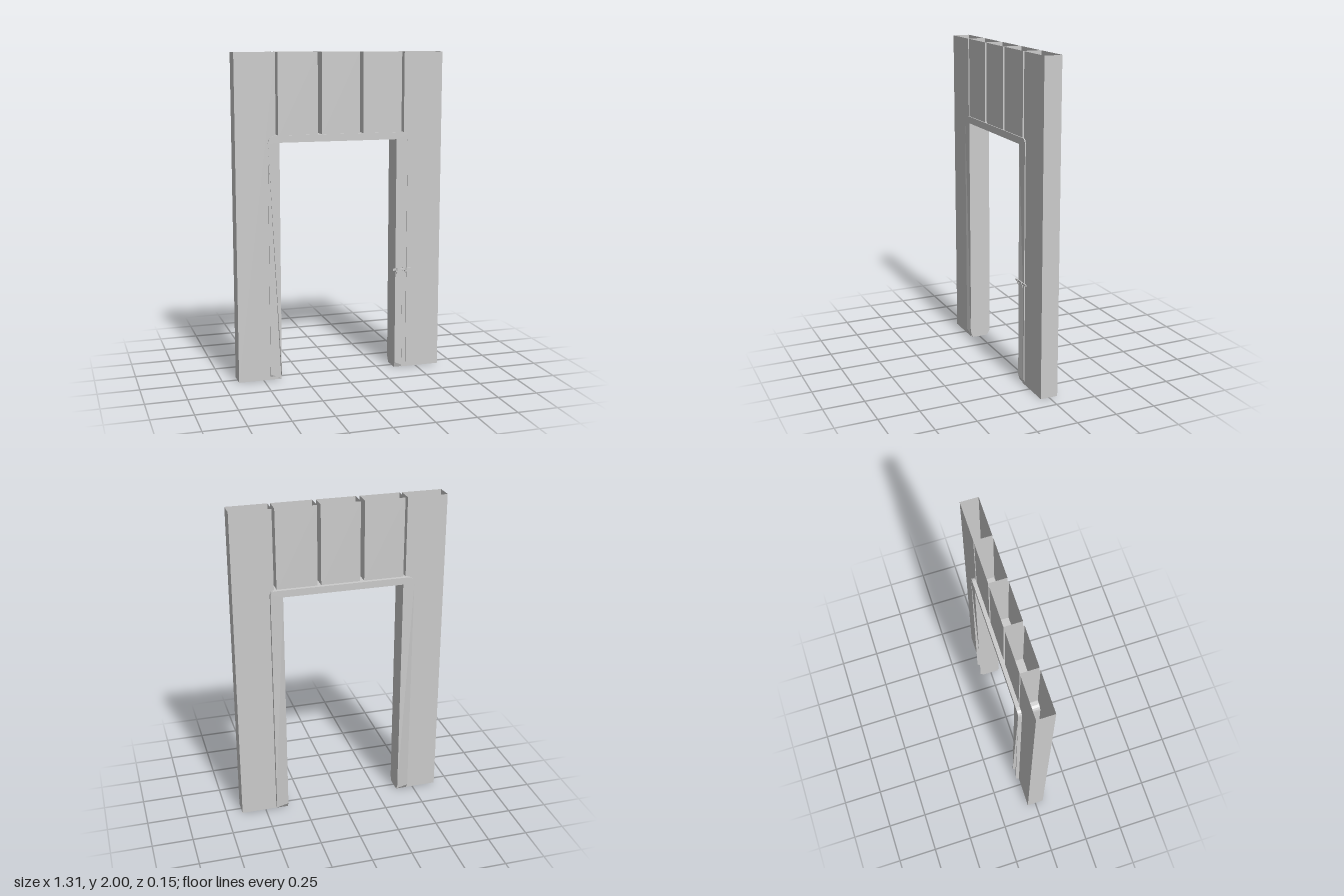
import * as THREE from 'three';

const material = new THREE.MeshStandardMaterial({ color: 0xcccccc, flatShading: true, side: THREE.DoubleSide });

function addMesh(parent, name, geometry, x = 0, y = 0, z = 0) {
  const mesh = new THREE.Mesh(geometry, material);
  mesh.name = name;
  mesh.position.set(x, y, z);
  parent.add(mesh);
  return mesh;
}

// Hollow rectangular sleeve, open at top and bottom
function sleeve(x0, x1, y0, y1, depth) {
  const g = new THREE.BoxGeometry(x1 - x0, y1 - y0, depth);
  const index = Array.from(g.index.array);
  index.splice(12, 12); // drop the top and bottom faces
  g.setIndex(index);
  g.clearGroups();
  return g.translate((x0 + x1) / 2, (y0 + y1) / 2, 0);
}

// U-shaped door lining with rounded upper corners and chamfered feet
function liningGeometry() {
  const L = -0.457, R = 0.43, top = 1.51, inL = -0.387, inR = 0.355, inTop = 1.467;
  const foot = 0.035, rL = 0.045, rR = 0.03;
  const s = new THREE.Shape();
  s.moveTo(L, 0);
  s.lineTo(inL, 0);
  s.lineTo(inL, foot);
  s.lineTo(inL, inTop);
  s.lineTo(inR, inTop);
  s.lineTo(inR, foot);
  s.lineTo(inR, 0);
  s.lineTo(R, 0);
  s.lineTo(R, foot);
  s.lineTo(R, top - rR);
  s.quadraticCurveTo(R, top, R - rR, top);
  s.lineTo(L + rL, top);
  s.quadraticCurveTo(L, top, L, top - rL);
  s.lineTo(L, foot);
  const g = new THREE.ExtrudeGeometry(s, { depth: 0.137, bevelEnabled: false, curveSegments: 4 });
  g.translate(0, 0, -0.077);
  // draw the soles inward, front and back
  const p = g.attributes.position;
  for (let i = 0; i < p.count; i++) {
    if (p.getY(i) < 0.001) p.setZ(i, p.getZ(i) > 0 ? 0.048 : -0.055);
  }
  g.computeVertexNormals();
  return g;
}

export function createModel() {
  const model = new THREE.Group();
  model.name = 'doorway';

  // Wall: two tall side sections and three short ones over the opening
  const wall = new THREE.Group();
  wall.name = 'wall';
  model.add(wall);
  const sections = [
    ['rightWallSection', -0.655, -0.408, 0],
    ['rightUpperPanel', -0.393, -0.147, 1.5],
    ['middleUpperPanel', -0.122, 0.118, 1.5],
    ['leftUpperPanel', 0.14, 0.388, 1.5],
    ['leftWallSection', 0.404, 0.652, 0],
  ];
  for (const [name, x0, x1, y0] of sections) addMesh(wall, name, sleeve(x0, x1, y0, 2, 0.108));

  addMesh(model, 'doorLining', liningGeometry());

  // Small latch on the front of the left jamb
  const latch = new THREE.Group();
  latch.name = 'latch';
  latch.position.set(0.405, 0.645, 0.068);
  model.add(latch);
  addMesh(latch, 'latchBar', new THREE.BoxGeometry(0.14, 0.012, 0.006));
  for (const x of [-0.043, 0.016]) {
    addMesh(latch, 'latchPost', new THREE.BoxGeometry(0.012, 0.016, 0.014), x, -0.008, -0.003);
    const clip = addMesh(latch, 'latchClip', new THREE.BoxGeometry(0.006, 0.04, 0.004), x, -0.008, 0.002);
    clip.rotation.x = 0.3;
  }
  return model;
}
